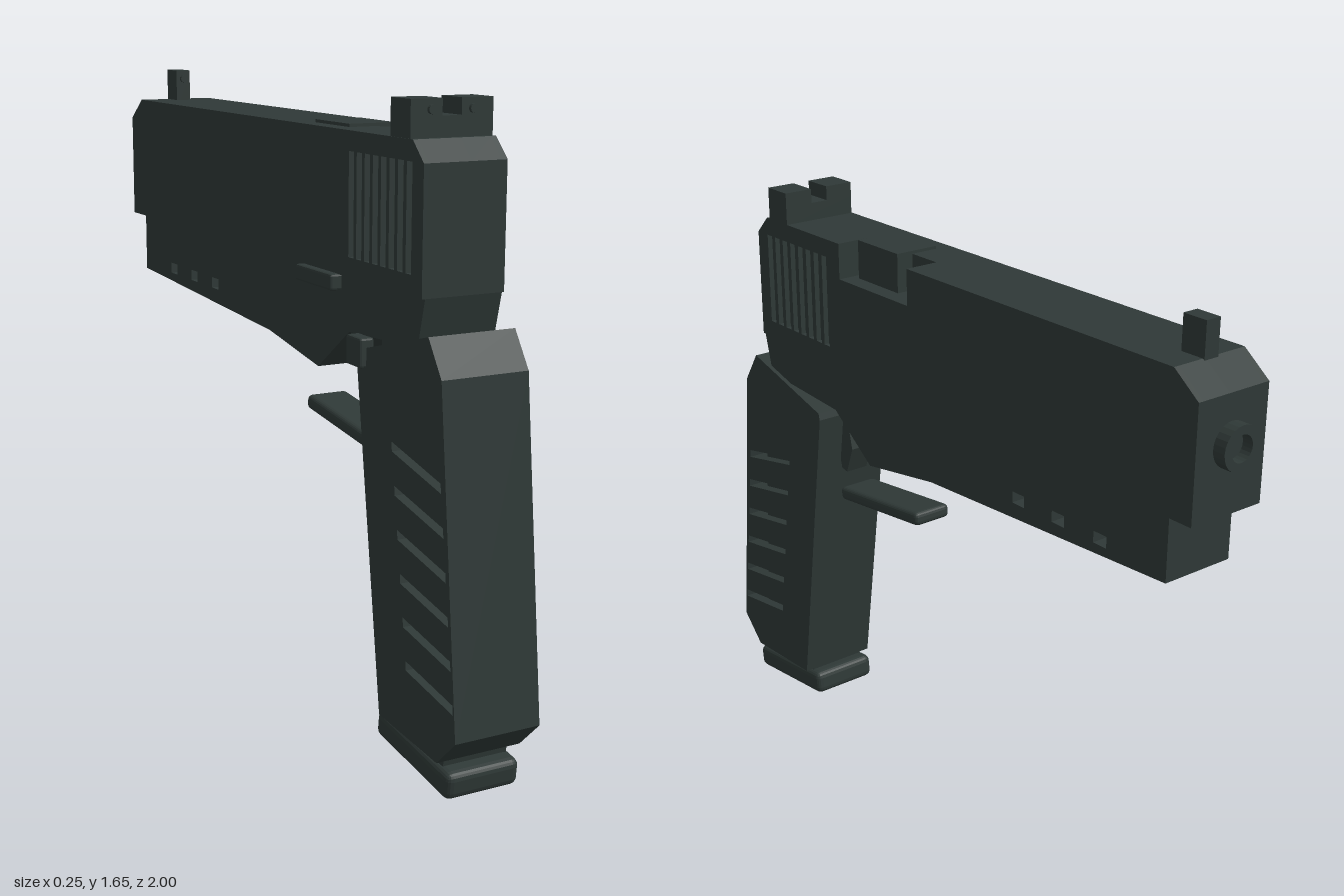
import * as THREE from 'three';
import { RoundedBoxGeometry } from 'three/addons/geometries/RoundedBoxGeometry.js';

const CX = 0.006; // centre plane of the body

export function createModel() {
  const root = new THREE.Group();
  root.name = 'pistol';
  const gunmetal = new THREE.MeshStandardMaterial({ color: 0x2f3937, flatShading: true });
  gunmetal.name = 'gunmetal';

  const add = (name, geo, parent = root) => {
    const m = new THREE.Mesh(geo, gunmetal);
    m.name = name;
    parent.add(m);
    return m;
  };
  const group = (name) => {
    const g = new THREE.Group();
    g.name = name;
    root.add(g);
    return g;
  };
  const toPoints = (pts) => pts.map(([z, y]) => new THREE.Vector2(z, y));
  // side profile given as [z, y] pairs, extruded across x0..x1
  const plate = (pts, x0, x1, holes = []) => {
    const s = new THREE.Shape(toPoints(pts));
    for (const h of holes) s.holes.push(new THREE.Path(toPoints(h)));
    const g = new THREE.ExtrudeGeometry(s, { depth: x1 - x0, bevelEnabled: false });
    return g.rotateY(-Math.PI / 2).translate(x1, 0, 0);
  };
  const rect = (z0, z1, y0, y1) => [[z0, y0], [z1, y0], [z1, y1], [z0, y1]];
  const box = (x0, x1, y0, y1, z0, z1) =>
    new THREE.BoxGeometry(x1 - x0, y1 - y0, z1 - z0)
      .translate((x0 + x1) / 2, (y0 + y1) / 2, (z0 + z1) / 2);

  // Slide: layered across x so the port and grip serrations are real recesses
  const slide = group('slide');
  const bottomAndRear = [[-0.965, 1.2], [0.81, 1.2], [0.81, 1.51], [0.76, 1.56]];
  const nose = [[-0.885, 1.56], [-0.965, 1.5]];
  const port = [[0.4, 1.56], [0.4, 1.46], [0.09, 1.46], [0.09, 1.56]];
  const full = [...bottomAndRear, ...nose];
  const cut = [...bottomAndRear, ...port, ...nose];
  const serrations = [];
  for (let i = 0; i < 8; i++) {
    const z = 0.748 - i * 0.0394;
    serrations.push(rect(z - 0.013, z + 0.013, 1.25, 1.51));
  }
  add('slideLeftSkin', plate(cut, 0.103, 0.118, serrations), slide);
  add('slidePortSide', plate(cut, 0.02, 0.103), slide);
  add('slideBody', plate(full, -0.092, 0.02), slide);
  add('slideRightSkin', plate(full, -0.107, -0.092, serrations), slide);
  add('barrelHood', box(-0.06, 0.07, 1.44, 1.568, 0.195, 0.375), slide);

  // Muzzle ring with a recessed bore
  const ring = [[0, 0.005], [0.034, 0.005], [0.034, 0.035], [0.057, 0.035], [0.057, -0.02]]
    .reverse().map(([r, h]) => new THREE.Vector2(r, h));
  add('muzzle', new THREE.LatheGeometry(ring, 24).rotateX(-Math.PI / 2)
    .translate(CX, 1.375, -0.965));

  // Sights
  const sights = group('sights');
  add('rearSightBase', box(-0.105, 0.118, 1.555, 1.61, 0.655, 0.745), sights);
  for (const [x0, x1] of [[-0.105, -0.02], [0.032, 0.118]]) {
    add('rearSightEar', box(x0, x1, 1.61, 1.65, 0.655, 0.745), sights);
  }
  add('frontSight', box(-0.016, 0.028, 1.53, 1.65, -0.89, -0.818), sights);
  for (const [x, z] of [[-0.05, 0.745], [0.062, 0.745], [CX, -0.818]]) {
    add('sightDot', new THREE.CylinderGeometry(0.011, 0.011, 0.018, 12)
      .rotateX(Math.PI / 2).translate(x, 1.625, z), sights);
  }

  // Frame with three windows under the barrel
  const windows = [-0.362, -0.513, -0.665].map((z) => rect(z - 0.023, z + 0.023, 1.044, 1.075));
  add('frame', plate([
    [0.81, 1.2], [0.78, 1.08], [0.45, 1.06], [0.285, 0.94],
    [0, 0.985], [-0.89, 1.03], [-0.89, 1.2],
  ], -0.098, 0.112, windows));

  // Grip with slanted slots over the magazine
  const slots = [];
  for (let i = 0; i < 6; i++) {
    const t = i / 5, h = 0.012;
    const zr = 0.917 + 0.07 * t, yr = 0.778 - 0.518 * t;
    const zf = 0.692 + 0.08 * t, yf = 0.824 - 0.532 * t;
    slots.push([[zr, yr - h], [zr - 0.003, yr + h], [zf - 0.003, yf + h], [zf, yf - h]]);
  }
  add('grip', plate([
    [0.85, 1.12], [0.91, 1.03], [1.0, 0.18], [0.92, 0.1],
    [0.645, 0.115], [0.515, 1.01], [0.52, 1.03],
  ], -0.112, 0.125, slots));
  add('magazine', plate([[0.85, 0.95], [0.912, 0.12], [0.9, 0.05], [0.655, 0.07], [0.54, 0.95]],
    CX - 0.09, CX + 0.09));
  const base = add('magazineBase', new RoundedBoxGeometry(0.208, 0.072, 0.345, 2, 0.02));
  base.position.set(CX, 0.058, 0.775);
  base.rotation.x = 0.115;

  // Trigger and guard bar
  add('trigger', plate([
    [0.57, 1.08], [0.495, 1.08], [0.495, 1.0], [0.475, 0.91], [0.505, 0.83], [0.53, 0.835], [0.56, 0.95],
  ], CX - 0.035, CX + 0.035));
  const guard = add('triggerGuard', new RoundedBoxGeometry(0.12, 0.04, 0.378, 2, 0.014));
  guard.position.set(CX, 0.788, 0.32);
  guard.rotation.x = 0.115;

  // Controls on the right side
  add('slideStop', new RoundedBoxGeometry(0.04, 0.042, 0.195, 1, 0.006)).position.set(-0.11, 1.18, 0.312);
  add('magazineRelease', new RoundedBoxGeometry(0.04, 0.075, 0.072, 1, 0.006)).position.set(-0.11, 1.028, 0.527);

  return root;
}
